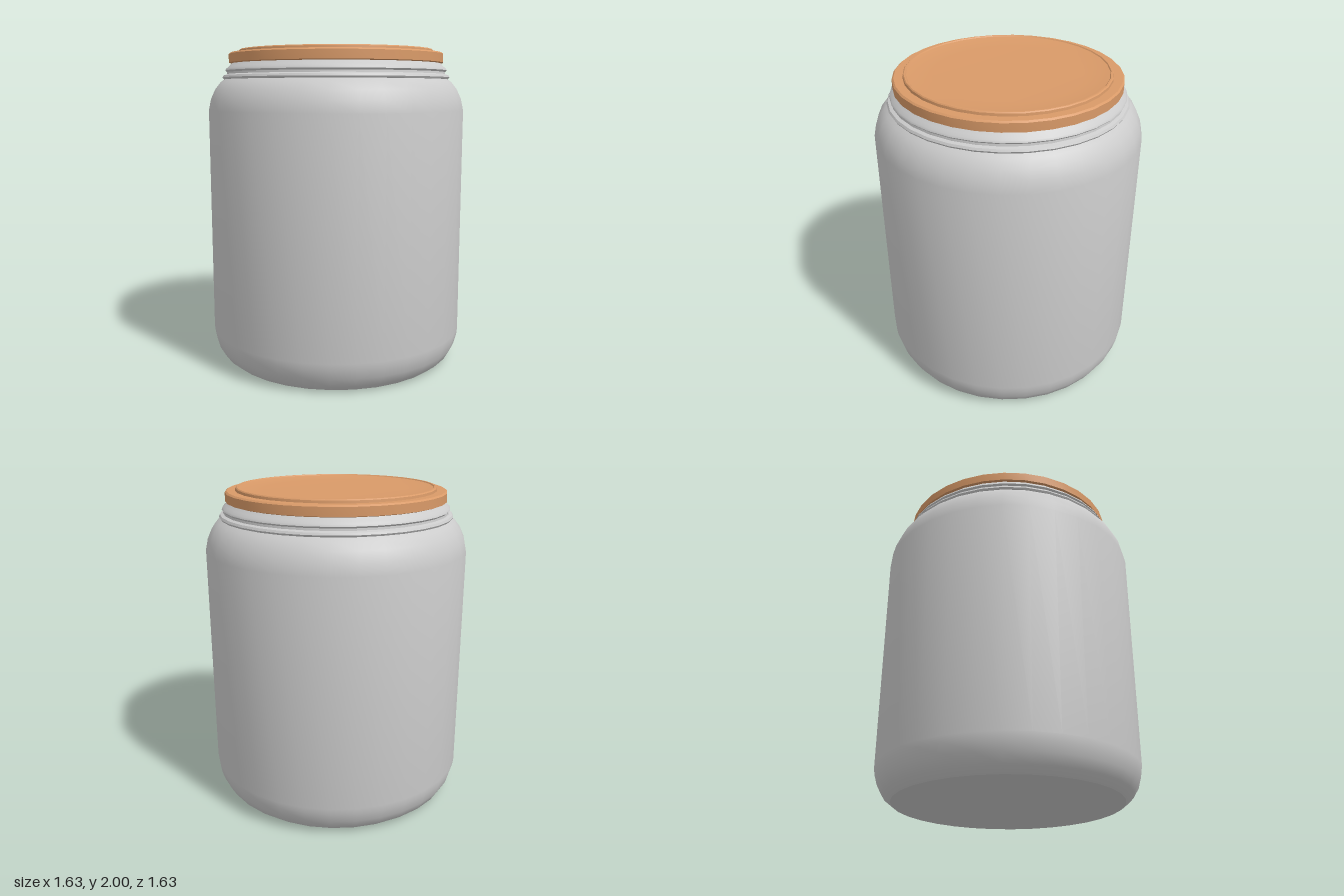
import * as THREE from 'three';
import { toCreasedNormals } from 'three/addons/utils/BufferGeometryUtils.js';

const SIDES = 32;

// Revolve a profile of [radius, height] pairs, listed from bottom to top
function turned(name, profile, color) {
  const points = profile.map(([r, y]) => new THREE.Vector2(r, y));
  const geometry = toCreasedNormals(new THREE.LatheGeometry(points, SIDES), 0.6);
  const mesh = new THREE.Mesh(geometry, new THREE.MeshStandardMaterial({ color }));
  mesh.name = name;
  return mesh;
}

export function createModel() {
  const model = new THREE.Group();
  model.name = 'jar';

  // Body with rounded base and shoulder
  model.add(turned('body', [
    [0, 0], [0.71, 0], [0.76, 0.04], [0.795, 0.1], [0.812, 0.16], [0.817, 0.2],
    [0.817, 1.62], [0.802, 1.69], [0.775, 1.75], [0.74, 1.795], [0.7, 1.825],
  ], 0xcccccc));

  // Neck with two stepped screw ridges
  model.add(turned('neck', [
    [0.7, 1.81], [0.72, 1.814], [0.727, 1.825], [0.72, 1.838], [0.7, 1.845],
    [0.698, 1.858], [0.708, 1.868], [0.703, 1.88], [0.685, 1.893],
    [0.672, 1.91], [0.66, 1.92], [0, 1.92],
  ], 0xcccccc));

  // Lid with bevelled rim, raised disc and shallow dished top
  model.add(turned('lid', [
    [0, 1.912], [0.67, 1.912], [0.685, 1.917], [0.685, 1.97], [0.675, 1.979],
    [0.622, 1.979], [0.62, 1.994], [0.614, 2], [0.605, 2], [0.6, 1.994],
    [0.54, 1.986], [0.45, 1.983], [0, 1.983],
  ], 0xd99a68));

  return model;
}
